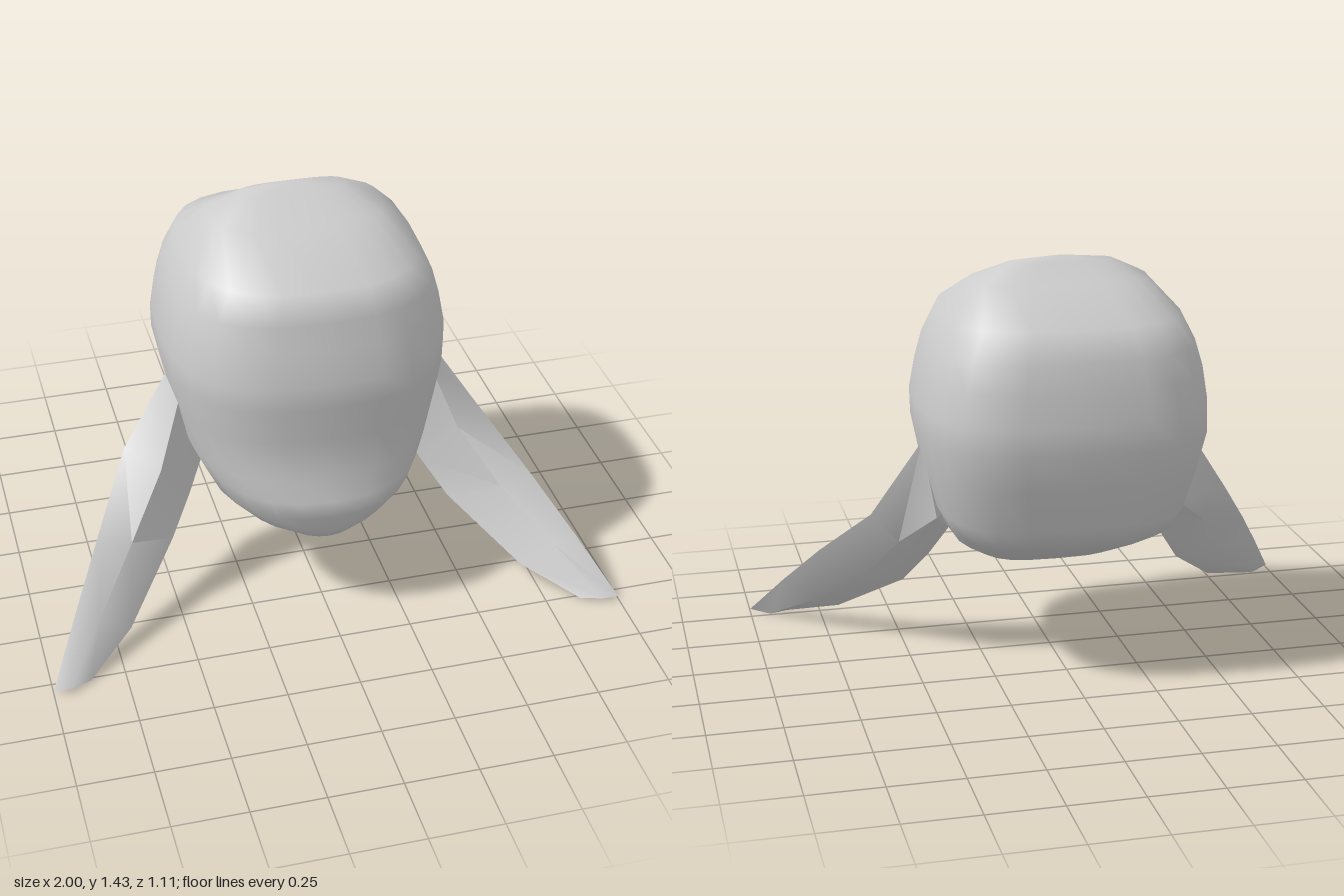
import * as THREE from 'three';
import { mergeVertices, toCreasedNormals } from 'three/addons/utils/BufferGeometryUtils.js';

// Skin a list of closed rings of [x, y, z] points; collapsed rings act as poles.
function loft(rings) {
  const pos = [];
  const same = (p, q) => Math.hypot(p[0] - q[0], p[1] - q[1], p[2] - q[2]) < 1e-6;
  const tri = (a, b, c) => {
    if (!same(a, b) && !same(b, c) && !same(c, a)) pos.push(...a, ...b, ...c);
  };
  const n = rings[0].length;
  for (let i = 0; i < rings.length - 1; i++) {
    for (let j = 0; j < n; j++) {
      const k = (j + 1) % n;
      const a = rings[i][j], b = rings[i][k], c = rings[i + 1][k], d = rings[i + 1][j];
      tri(a, b, d);
      tri(b, c, d);
    }
  }
  const g = new THREE.BufferGeometry();
  g.setAttribute('position', new THREE.Float32BufferAttribute(pos, 3));
  return g;
}

// Head sections: height, half width, front z, back z, front squareness
const HEAD = [
  [0.295, 0, 0.29, 0.29, 2],
  [0.32, 0.14, 0.35, 0.06, 2],
  [0.36, 0.25, 0.375, -0.12, 2.1],
  [0.44, 0.345, 0.41, -0.29, 2.2],
  [0.51, 0.385, 0.42, -0.435, 2.3],
  [0.58, 0.42, 0.375, -0.47, 2.5],
  [0.73, 0.455, 0.375, -0.52, 2.6],
  [0.86, 0.482, 0.385, -0.555, 2.6],
  [0.95, 0.484, 0.385, -0.545, 2.6],
  [1.06, 0.465, 0.35, -0.535, 2.7],
  [1.15, 0.44, 0.33, -0.51, 2.7],
  [1.25, 0.39, 0.3, -0.475, 2.7],
  [1.35, 0.3, 0.06, -0.28, 2.6],
  [1.41, 0.18, -0.09, -0.19, 2.4],
  [1.43, 0, -0.15, -0.15, 2],
];

function headRing([y, w, front, back, squareFront], segments = 24) {
  const mid = (front + back) / 2, depth = (front - back) / 2;
  return Array.from({ length: segments }, (_, j) => {
    const t = (-j / segments) * Math.PI * 2;
    const c = Math.cos(t), s = Math.sin(t);
    const e = 2 / (s > 0 ? squareFront : 3.2);
    return [
      w * Math.sign(c) * Math.abs(c) ** e,
      y,
      mid + depth * Math.sign(s) * Math.abs(s) ** e,
    ];
  });
}

// Ear sections, root to tip: upper edge, front face, lower edge, back face
const EAR = [
  [[0.46, 0.8, -0.08], [0.44, 0.76, 0.03], [0.36, 0.47, -0.02], [0.42, 0.54, -0.12]],
  [[0.63, 0.54, -0.03], [0.53, 0.52, 0.11], [0.42, 0.36, 0.04], [0.54, 0.44, -0.05]],
  [[0.78, 0.34, 0.21], [0.66, 0.32, 0.22], [0.5, 0.24, 0.12], [0.63, 0.27, 0.13]],
  [[0.89, 0.18, 0.38], [0.81, 0.16, 0.4], [0.7, 0.07, 0.36], [0.79, 0.11, 0.33]],
  [[1, 0.01, 0.55], [0.94, 0.015, 0.555], [0.87, 0.005, 0.52], [0.93, 0, 0.51]],
];

function earGeometry(side) {
  const pole = (p) => Array(4).fill(p);
  const rings = [pole([0.3, 0.62, -0.04]), ...EAR, pole([0.935, 0.006, 0.535])];
  const mirrored = rings.map((r) => {
    const m = r.map(([x, y, z]) => [x * side, y, z]);
    return side < 0 ? m.reverse() : m;
  });
  return toCreasedNormals(loft(mirrored), 0.8);
}

export function createModel() {
  const group = new THREE.Group();
  const material = new THREE.MeshStandardMaterial({ color: 0xcccccc });
  const add = (name, geometry) => {
    const mesh = new THREE.Mesh(geometry, material);
    mesh.name = name;
    group.add(mesh);
  };

  // Smooth rounded head with a short snout
  const head = mergeVertices(loft(HEAD.map((section) => headRing(section))));
  head.computeVertexNormals();
  add('head', head);

  // Drooping ears, swept forward
  add('leftEar', earGeometry(1));
  add('rightEar', earGeometry(-1));
  return group;
}
